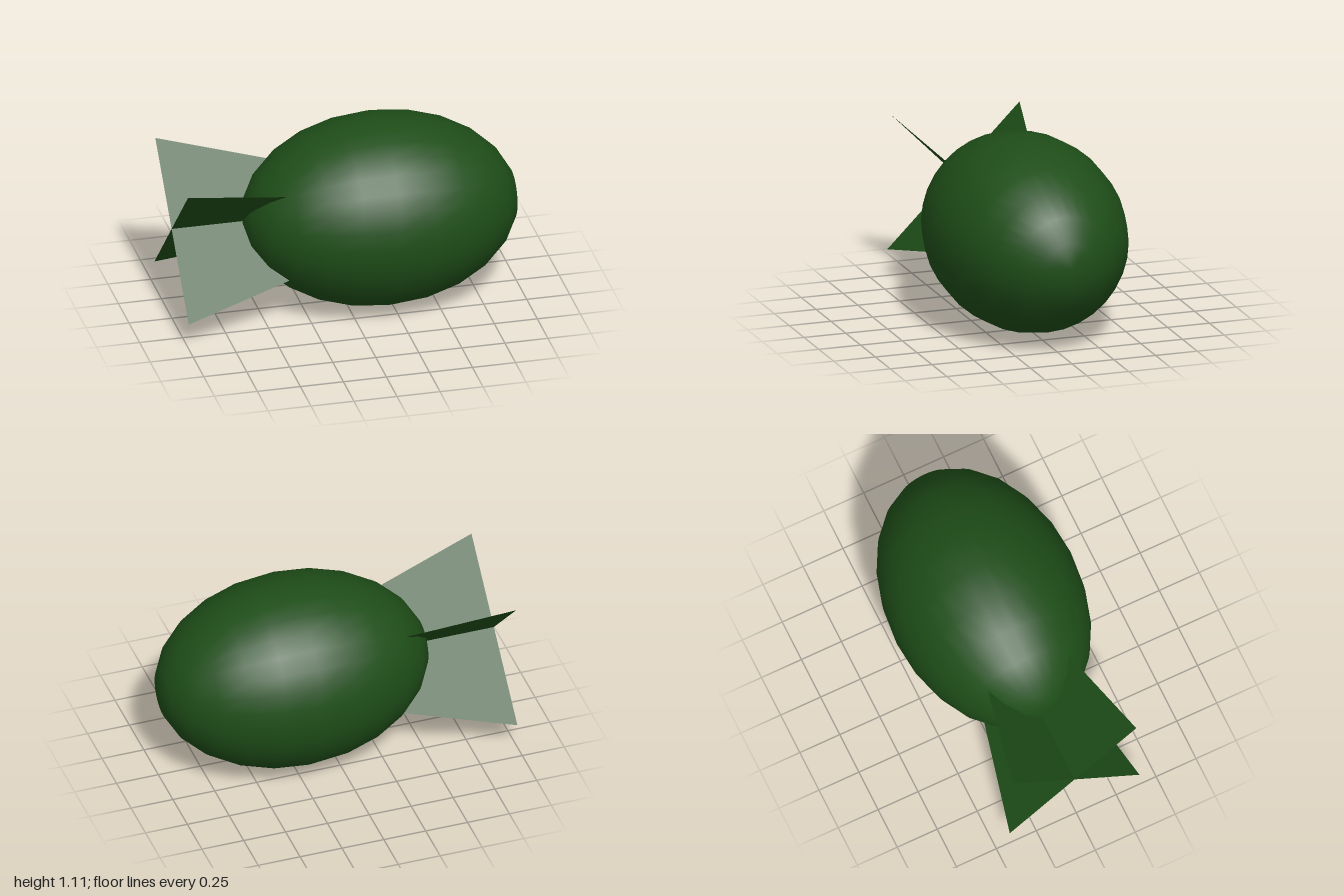
import * as THREE from 'three';

export function createModel() {
  const model = new THREE.Group();
  const green = new THREE.MeshStandardMaterial({ color: 0x1e4d18 });
  const finGreen = green.clone();
  finGreen.side = THREE.DoubleSide;

  // Egg-shaped body with its poles along x
  const bodyGeometry = new THREE.SphereGeometry(1, 32, 12);
  bodyGeometry.rotateZ(-Math.PI / 2);
  bodyGeometry.scale(0.795, 0.555, 0.555);
  const body = new THREE.Mesh(bodyGeometry, green);
  body.name = 'body';
  body.position.set(0.205, 0.555, 0);
  model.add(body);

  // Two thin tapering plates crossed diagonally, running into the tail
  const finShape = new THREE.Shape();
  finShape.moveTo(-1, -0.56);
  finShape.lineTo(-0.2, -0.31);
  finShape.lineTo(-0.2, 0.31);
  finShape.lineTo(-1, 0.56);
  finShape.closePath();
  const finGeometry = new THREE.ShapeGeometry(finShape);

  [[1, -0.02], [-1, 0]].forEach(([side, z], i) => {
    const fin = new THREE.Mesh(finGeometry, finGreen);
    fin.name = `tailFin${i + 1}`;
    fin.position.set(0, 0.55, z);
    fin.rotation.x = side * Math.PI / 4;
    model.add(fin);
  });

  return model;
}
